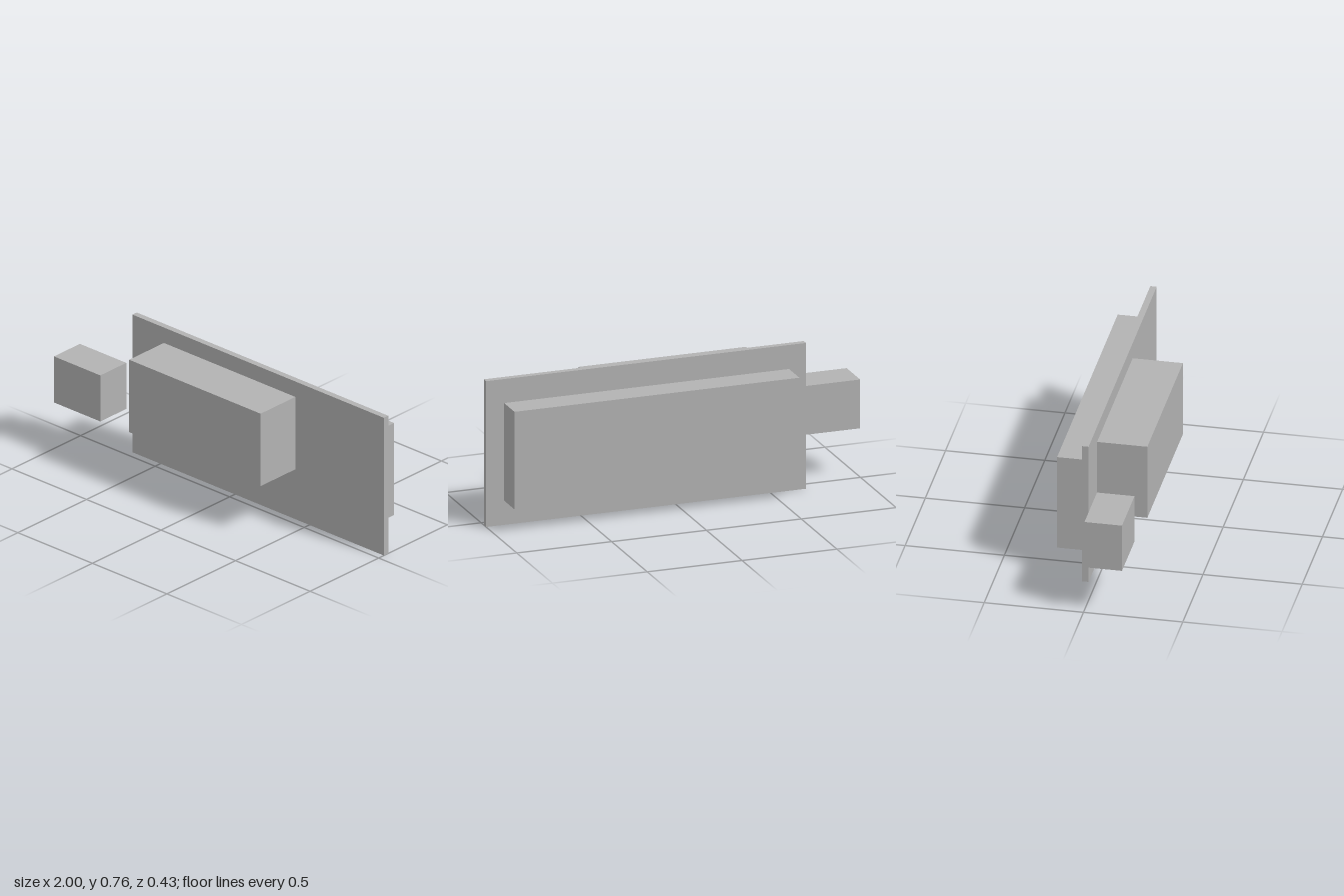
import * as THREE from 'three';

export function createModel() {
  const model = new THREE.Group();
  const grey = new THREE.MeshStandardMaterial({ color: 0xb2b2b2 });
  grey.name = 'light grey';

  // Adds a block spanning the given [min, max] range on each axis
  function addBlock(name, [x0, x1], [y0, y1], [z0, z1]) {
    const mesh = new THREE.Mesh(new THREE.BoxGeometry(x1 - x0, y1 - y0, z1 - z0), grey);
    mesh.name = name;
    mesh.position.set((x0 + x1) / 2, (y0 + y1) / 2, (z0 + z1) / 2);
    model.add(mesh);
  }

  // Thin upright panel with a housing on each face
  addBlock('panel', [-0.687, 1], [0, 0.759], [-0.07, -0.038]);
  addBlock('frontHousing', [-0.476, 0.406], [0.275, 0.674], [-0.038, 0.215]);
  addBlock('backHousing', [-0.597, 0.905], [0.126, 0.634], [-0.215, -0.07]);

  // Separate block beside the panel
  addBlock('sideBlock', [-1, -0.689], [0.254, 0.508], [0.005, 0.194]);

  return model;
}
